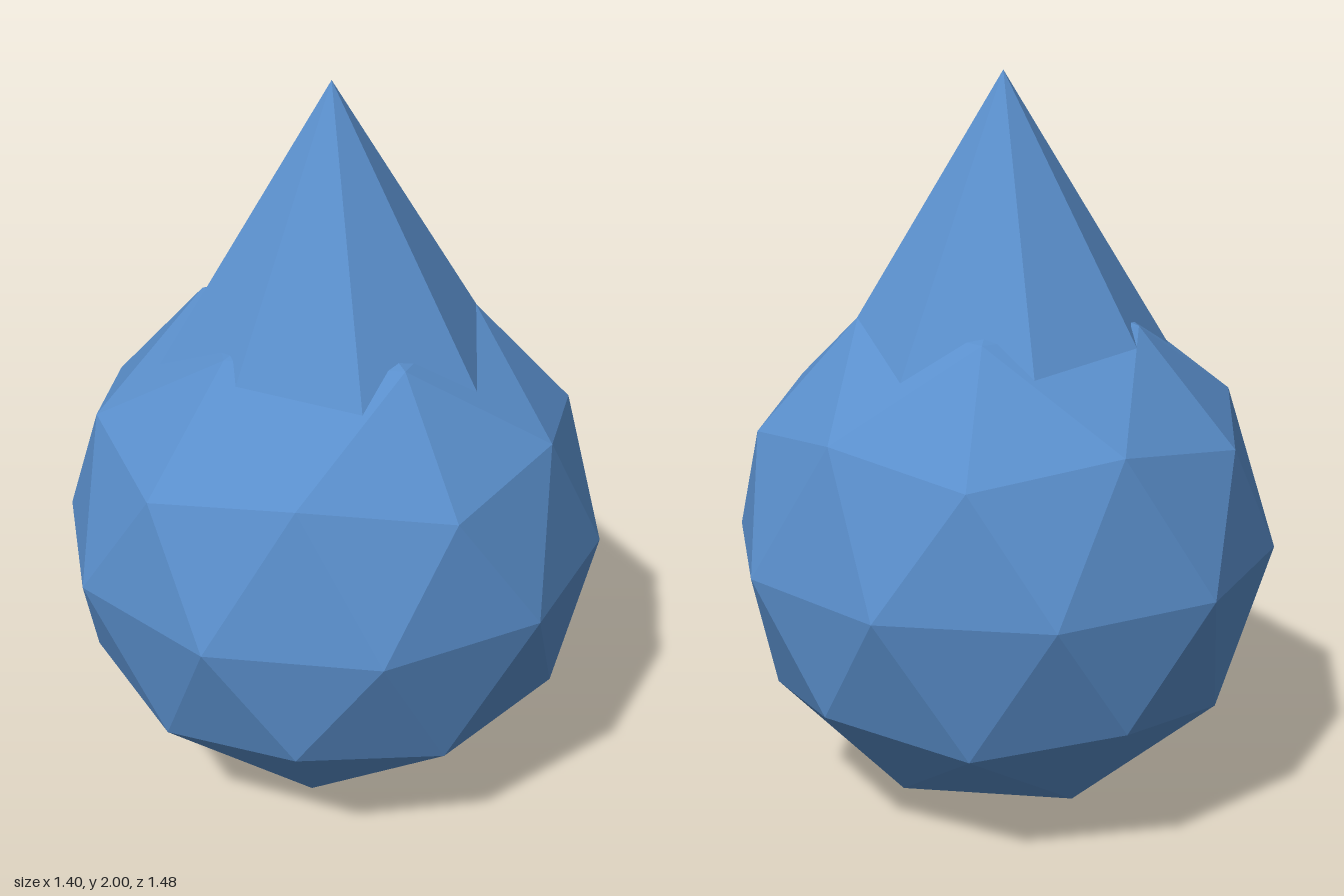
import * as THREE from 'three';

const RADIUS = 0.738;

// Icosahedron with its poles on y, each face split in four and pushed out to the sphere
function facetedSphere(radius) {
  const points = [0, 1, 0];
  for (const [y, turn] of [[0.4472, 0], [-0.4472, Math.PI / 5]]) {
    for (let i = 0; i < 5; i++) {
      const a = turn + (i * Math.PI * 2) / 5;
      points.push(0.8944 * Math.cos(a), y, 0.8944 * Math.sin(a));
    }
  }
  points.push(0, -1, 0);

  const faces = [];
  for (let i = 0; i < 5; i++) {
    const j = (i + 1) % 5;
    const [u0, u1, l0, l1] = [1 + i, 1 + j, 6 + i, 6 + j];
    faces.push(0, u1, u0, u0, u1, l0, l0, u1, l1, l0, l1, 11);
  }
  const geometry = new THREE.PolyhedronGeometry(points, faces, radius, 1);
  geometry.computeVertexNormals(); // unshared corners give flat facets
  return geometry;
}

export function createModel() {
  const group = new THREE.Group();
  group.name = 'waterDrop';
  const blue = new THREE.MeshStandardMaterial({ color: 0x5a8fcc, flatShading: true });
  blue.name = 'waterBlue';

  // Round body standing on the ground
  const body = new THREE.Mesh(facetedSphere(RADIUS), blue);
  body.name = 'dropBody';
  body.position.y = RADIUS;
  group.add(body);

  // Eight-sided tip whose base sinks into the body
  const height = 0.9;
  const tip = new THREE.Mesh(new THREE.ConeGeometry(height * 0.613, height, 8), blue);
  tip.name = 'dropTip';
  tip.position.y = 2 - height / 2;
  group.add(tip);

  return group;
}
